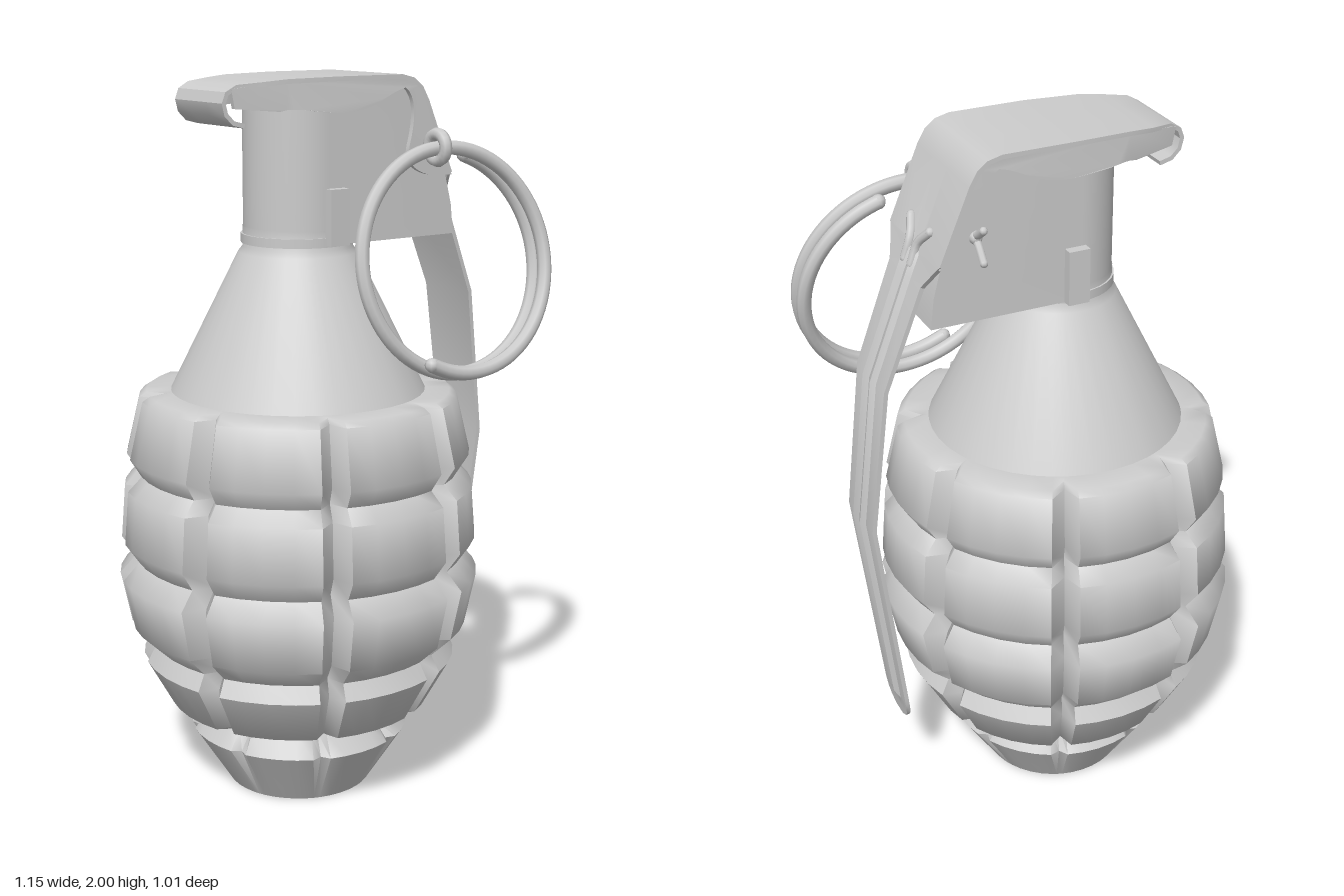
import * as THREE from 'three';
import { toCreasedNormals, mergeVertices } from 'three/addons/utils/BufferGeometryUtils.js';

const AXIS = -0.068; // x of the body's upright axis
const V = (x, y, z) => new THREE.Vector3(x, y, z);
const material = new THREE.MeshStandardMaterial({ color: 0xcccccc, side: THREE.DoubleSide });

function part(parent, name, geometry) {
  const mesh = new THREE.Mesh(geometry, material);
  mesh.name = name;
  parent.add(mesh);
  return mesh;
}

// Drops seams, then smooths everything below the crease angle
function smooth(geometry, crease) {
  geometry.deleteAttribute('uv');
  geometry.deleteAttribute('normal');
  return toCreasedNormals(mergeVertices(geometry, 1e-4), crease);
}

// Lathed shell cut by eight upright grooves
function bodyGeometry() {
  const profile = [
    [0, 0], [0.205, 0], [0.31, 0.165], [0.27, 0.22], [0.37, 0.252],
    [0.443, 0.385], [0.418, 0.43], [0.475, 0.485], [0.505, 0.63], [0.46, 0.68],
    [0.498, 0.735], [0.486, 0.885], [0.447, 0.925], [0.478, 0.975],
    [0.44, 1.135], [0.42, 1.148], [0.352, 1.15],
    [0.162, 1.53], [0.15, 1.545], [0.15, 1.6],
  ];
  const angles = [0, 4.5, 13, 22.5, 32, 40.5];
  const geometry = new THREE.LatheGeometry(profile.map(p => new THREE.Vector2(...p)), 48);
  const pos = geometry.attributes.position;
  const n = profile.length;
  for (let i = 0; i <= 48; i++) {
    const a = THREE.MathUtils.degToRad(22.5 + 45 * Math.floor(i / 6) + angles[i % 6]);
    for (let j = 0; j < n; j++) {
      const [r, y] = profile[j];
      const inBlocks = j > 1 && j < n - 4;
      const k = i % 6 === 0 && inBlocks ? (j === 2 ? 0.94 : 0.885) : 1;
      pos.setXYZ(i * n + j, Math.sin(a) * r * k, y, Math.cos(a) * r * k);
    }
  }
  return smooth(geometry, 0.95);
}

// Strip along a path of [x, y, half width, rib height]
function stripGeometry(path, t) {
  const verts = [], index = [], n = 9;
  path.forEach(([x, y, w, h = 0], i) => {
    const p = path[Math.max(i - 1, 0)], q = path[Math.min(i + 1, path.length - 1)];
    const len = Math.hypot(q[0] - p[0], q[1] - p[1]);
    const nx = -(q[1] - p[1]) / len, ny = (q[0] - p[0]) / len;
    const a = Math.min(0.04, w * 0.5), b = a * 0.65;
    const section = [[-w, 0], [-a, 0], [-b, h], [0, h * 0.3], [b, h], [a, 0], [w, 0], [w, -t], [-w, -t]];
    for (const [z, d] of section) verts.push(x + nx * d, y + ny * d, z);
  });
  const last = (path.length - 1) * n;
  for (let i = 0; i < path.length - 1; i++) {
    for (let j = 0; j < n; j++) {
      const a = i * n + j, b = i * n + (j + 1) % n;
      index.push(a, b, a + n, b, b + n, a + n);
    }
  }
  for (let j = 1; j < n - 1; j++) {
    index.push(0, j + 1, j, last, last + j, last + j + 1);
  }
  const geometry = new THREE.BufferGeometry();
  geometry.setAttribute('position', new THREE.Float32BufferAttribute(verts, 3));
  geometry.setIndex(index);
  return toCreasedNormals(geometry, 0.6);
}

// Fuse housing: round at the neck, boxy and sloped on the lever side
function housingGeometry() {
  const shape = new THREE.Shape();
  shape.moveTo(AXIS, -0.148);
  shape.lineTo(0.355, -0.148);
  shape.lineTo(0.355, 0.148);
  shape.lineTo(AXIS, 0.148);
  shape.absarc(AXIS, 0, 0.148, Math.PI / 2, Math.PI * 1.5, false);
  const height = 0.415;
  const geometry = new THREE.ExtrudeGeometry(shape, { depth: height, steps: 5, bevelEnabled: false, curveSegments: 16 });
  geometry.rotateX(-Math.PI / 2);
  const pos = geometry.attributes.position;
  for (let i = 0; i < pos.count; i++) {
    const rise = THREE.MathUtils.clamp(pos.getY(i) / height, 0, 1);
    if (pos.getX(i) > 0) pos.setX(i, 0.355 - 0.15 * Math.pow(rise, 1.7));
  }
  return smooth(geometry.translate(0, 1.56, 0), 0.5);
}

// Wavy side wall of the lever cap, pinched in towards the curl
function skirtGeometry(side) {
  const s = new THREE.Shape();
  s.moveTo(-0.35, 1.975);
  s.lineTo(-0.2, 1.992);
  s.lineTo(0.17, 1.995);
  s.lineTo(0.22, 1.97);
  s.lineTo(0.248, 1.925);
  s.lineTo(0.333, 1.725);
  s.lineTo(0.25, 1.73);
  s.quadraticCurveTo(0.17, 1.75, 0.185, 1.81);
  s.quadraticCurveTo(0.22, 1.93, 0.17, 1.965);
  s.bezierCurveTo(0.1, 1.95, 0.08, 1.91, -0.03, 1.905);
  s.bezierCurveTo(-0.1, 1.905, -0.18, 1.93, -0.22, 1.915);
  s.lineTo(-0.34, 1.925);
  const geometry = new THREE.ExtrudeGeometry(s, { depth: 0.014, bevelEnabled: false, curveSegments: 8 });
  geometry.translate(0, 0, side > 0 ? 0.151 : -0.165);
  const pos = geometry.attributes.position;
  for (let i = 0; i < pos.count; i++) {
    const pinch = 0.047 * THREE.MathUtils.clamp((-0.15 - pos.getX(i)) / 0.17, 0, 1);
    pos.setZ(i, pos.getZ(i) - side * pinch);
  }
  return smooth(geometry, 0.5);
}

// Tube with rounded ends
function rod(parent, name, points, radius, segments) {
  const curve = new THREE.CatmullRomCurve3(points);
  part(parent, name, new THREE.TubeGeometry(curve, segments, radius, 8));
  for (const p of [points[0], points[points.length - 1]]) {
    part(parent, name + 'End', new THREE.SphereGeometry(radius, 8, 6)).position.copy(p);
  }
}

export function createModel() {
  const model = new THREE.Group();
  model.name = 'grenade';

  part(model, 'body', bodyGeometry()).position.x = AXIS;
  part(model, 'neckCollar', new THREE.CylinderGeometry(0.155, 0.155, 0.025, 32)).position.set(AXIS, 1.568, 0);
  part(model, 'fuseHousing', housingGeometry());

  // Cap with its curled end, running on into the long lever
  part(model, 'lever', stripGeometry([
    [-0.31, 1.875, 0.115], [-0.345, 1.884, 0.115], [-0.369, 1.908, 0.115], [-0.377, 1.94, 0.115],
    [-0.366, 1.968, 0.116], [-0.335, 1.985, 0.118], [-0.27, 1.991, 0.14], [-0.2, 1.997, 0.153],
    [-0.05, 2.0, 0.164], [0.16, 2.0, 0.165], [0.2, 1.99, 0.165], [0.228, 1.968, 0.165],
    [0.25, 1.93, 0.165], [0.333, 1.735, 0.165], [0.338, 1.72, 0.15, 0.012],
    [0.362, 1.66, 0.103, 0.012], [0.47, 1.38, 0.097, 0.012], [0.52, 0.96, 0.09, 0.012],
    [0.447, 0.36, 0.078, 0.012], [0.444, 0.335, 0.077], [0.439, 0.3, 0.07],
    [0.436, 0.28, 0.054], [0.434, 0.265, 0.025],
  ], 0.012));

  for (const side of [1, -1]) {
    part(model, 'capSkirt', skirtGeometry(side));
    rod(model, 'leverFork', [V(0.352, 1.69, side * 0.022), V(0.333, 1.745, side * 0.025),
      V(0.314, 1.785, side * 0.062)], 0.013, 8);
    part(model, 'housingTab', new THREE.BoxGeometry(0.06, 0.15, 0.03)).position.set(-0.05, 1.635, side * 0.16);
    // Splayed cotter legs at the back
    rod(model, 'pinLeg', [V(0.235, 1.797 + side * 0.008, -0.15), V(0.235, 1.797 + side * 0.01, -0.175),
      V(0.235, 1.79 + side * 0.043, -0.213)], 0.011, 8);
  }

  // Safety pin and the eye that holds the ring
  rod(model, 'pin', [V(0.235, 1.797, -0.165), V(0.235, 1.795, 0.19)], 0.018, 4);
  const eye = part(model, 'pinEye', new THREE.TorusGeometry(0.036, 0.017, 8, 20));
  eye.rotation.y = Math.PI / 2;
  eye.position.set(0.235, 1.808, 0.222);

  // Split ring: a tilted coil of about one and a half turns
  const coil = [];
  const tilt = 0.21;
  for (let i = 0; i <= 60; i++) {
    const f = i / 60;
    const a = THREE.MathUtils.degToRad(-118 + 548 * f);
    const shift = 0.035 - 0.07 * f;
    const r = 0.304;
    coil.push(V(0.25 + r * Math.cos(a),
      1.508 + r * Math.sin(a) * Math.cos(tilt) + shift * Math.sin(tilt),
      0.283 - r * Math.sin(a) * Math.sin(tilt) + shift * Math.cos(tilt)));
  }
  rod(model, 'pullRing', coil, 0.02, 120);

  return model;
}
